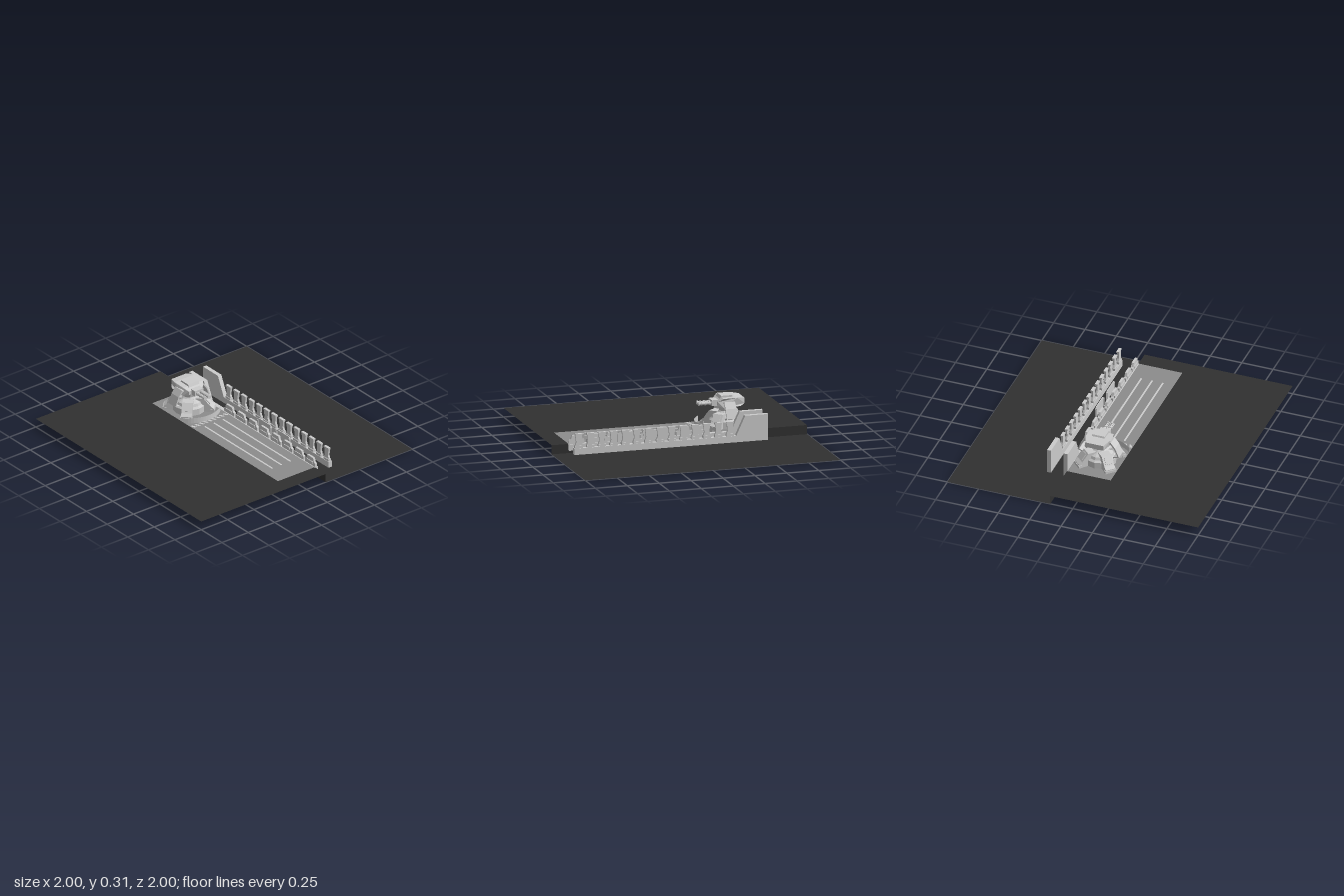
import * as THREE from 'three';

const grey = new THREE.MeshStandardMaterial({ color: 0xcccccc, flatShading: true, side: THREE.DoubleSide });
const dark = new THREE.MeshStandardMaterial({ color: 0x303030, side: THREE.DoubleSide });
const tarmac = new THREE.MeshStandardMaterial({ color: 0x8c8c8c, side: THREE.DoubleSide });

function add(parent, name, geo, x = 0, y = 0, z = 0, mat = grey) {
  const m = new THREE.Mesh(geo, mat);
  m.name = name;
  m.position.set(x, y, z);
  parent.add(m);
  return m;
}

const box = (w, h, d) => new THREE.BoxGeometry(w, h, d);

// flat horizontal sheet facing up
const sheet = (w, d) => new THREE.PlaneGeometry(w, d).rotateX(-Math.PI / 2);

// side profile in x/y, given thickness centred on z
function slab(points, depth) {
  const shape = new THREE.Shape(points.map(([x, y]) => new THREE.Vector2(x, y)));
  return new THREE.ExtrudeGeometry(shape, { depth, bevelEnabled: false }).translate(0, 0, -depth / 2);
}

// mirror a half profile (x >= 0, bottom to top) into a closed outline
const mirrored = (half) => [...half, ...half.map(([x, y]) => [-x, y]).reverse()];

function buildGround(root) {
  const g = new THREE.Group();
  g.name = 'ground';
  root.add(g);
  add(g, 'upperTerrace', sheet(2, 1.18), 0, 0.07, 0.41, dark);
  add(g, 'lowerTerrace', sheet(2, 0.82), 0, 0, -0.59, dark);
  add(g, 'terraceStep', new THREE.PlaneGeometry(2, 0.07).rotateY(Math.PI), 0, 0.035, -0.18, dark);

  // paved strip with lane lines
  add(g, 'pavement', sheet(1.52, 0.345), 0.11, 0.072, -0.002, tarmac);
  for (const z of [-0.09, -0.003, 0.083]) add(g, 'laneLine', sheet(0.82, 0.014), 0.283, 0.074, z);

  // diagonal warning stripes
  for (let i = 0; i < 9; i++) {
    const z = 0.155 - i * 0.038;
    const stripe = new THREE.Shape([[-0.018, 0], [0.018, 0.016], [0.018, 0.034], [-0.018, 0.018]]
      .map(([x, y]) => new THREE.Vector2(x, y)));
    add(g, 'warningStripe', new THREE.ShapeGeometry(stripe).rotateX(-Math.PI / 2), -0.175, 0.074, z + 0.013);
  }
}

function buildWalls(root) {
  const profile = [[-0.645, 0.023], [0.872, 0.023], [0.872, 0.072], [-0.395, 0.072], [-0.465, 0.222], [-0.645, 0.222]];
  for (const z of [-0.19, -0.323]) add(root, z > -0.3 ? 'innerWall' : 'outerWall', slab(profile, 0.032), 0, 0, z);

  // tall waisted posts on the outer wall
  const post = slab(mirrored([[0.03, 0.07], [0.03, 0.088], [0.019, 0.118], [0.027, 0.182]]), 0.016);
  const cap = box(0.056, 0.012, 0.022);
  for (let i = 0; i < 14; i++) {
    const x = -0.35 + i * 0.0912;
    add(root, 'outerPost', post, x, 0, -0.323);
    add(root, 'outerPostCap', cap, x, 0.176, -0.323);
    add(root, 'outerPostFoot', box(0.06, 0.02, 0.026), x, 0.08, -0.323);
  }

  // low stepped blocks on the inner wall
  const block = slab(mirrored([[0.06, 0.07], [0.06, 0.1], [0.046, 0.108], [0.036, 0.138]]), 0.018);
  for (let i = 0; i < 8; i++) {
    const x = -0.17 + i * 0.14;
    add(root, 'innerBlock', block, x, 0, -0.19);
    add(root, 'innerBlockRib', box(0.07, 0.018, 0.03), x, 0.098, -0.19);
  }

  // free-standing panels between the walls
  for (const x of [0.193, 0.418]) {
    add(root, 'thinPanel', slab(mirrored([[0.085, 0.062], [0.085, 0.125], [0.07, 0.145]]), 0.007), x, 0, -0.235);
    for (const s of [-1, 1]) add(root, 'panelBracket', box(0.012, 0.07, 0.014), x + s * 0.075, 0.098, -0.233);
  }
}

function buildTurret(root) {
  const t = new THREE.Group();
  t.name = 'turret';
  t.position.set(-0.42, 0, 0);
  root.add(t);

  // thin curved shield in front of the turret
  add(t, 'curvedShield', new THREE.CylinderGeometry(0.235, 0.235, 0.048, 16, 1, true, Math.PI / 2 - 0.81, 1.62), 0, 0.091, 0);

  // faceted pedestal
  const profile = [[0, 0.072], [0.125, 0.072], [0.125, 0.122], [0.108, 0.135], [0.1, 0.155], [0.065, 0.175],
    [0.05, 0.19], [0.055, 0.215], [0.06, 0.235], [0, 0.235]];
  add(t, 'pedestal', new THREE.LatheGeometry(profile.map(([x, y]) => new THREE.Vector2(x, y)), 12), 0, 0, 0);

  // four sloped legs on the diagonals
  const leg = slab([[0.05, 0.072], [0.19, 0.072], [0.19, 0.1], [0.165, 0.118], [0.115, 0.18], [0.05, 0.18]], 0.08);
  const plate = box(0.055, 0.008, 0.05);
  for (let i = 0; i < 4; i++) {
    const g = new THREE.Group();
    g.name = 'leg';
    g.rotation.y = Math.PI / 4 + i * Math.PI / 2;
    t.add(g);
    add(g, 'legBody', leg);
    add(g, 'legPlate', plate, 0.142, 0.15, 0).rotation.z = -0.89;
    add(g, 'foot', box(0.03, 0.02, 0.09), 0.18, 0.082, 0);
  }

  // bent armour plates hanging from both sides of the head
  const wing = slab([[0.085, 0.27], [0.1, 0.272], [0.135, 0.228], [0.165, 0.155], [0.12, 0.14], [0.12, 0.15],
    [0.152, 0.162], [0.126, 0.222], [0.095, 0.258], [0.085, 0.258]], 0.085);
  for (const s of [-1, 1]) add(t, 'sideArmour', wing).rotation.y = s * Math.PI / 2;

  // gun head
  const head = slab([[-0.125, 0.25], [-0.09, 0.235], [0.04, 0.225], [0.08, 0.24], [0.08, 0.27], [0.045, 0.297], [-0.06, 0.3], [-0.125, 0.29]], 0.18);
  const p = head.attributes.position;
  for (let i = 0; i < p.count; i++) {
    // narrow the head towards its rear and front
    const x = p.getX(i);
    p.setZ(i, p.getZ(i) * (x < -0.1 ? 0.8 : x > 0.06 ? 0.75 : 1.05));
  }
  head.computeVertexNormals();
  add(t, 'head', head);
  add(t, 'roofHatch', slab([[-0.045, 0.29], [0.06, 0.29], [0.05, 0.312], [-0.035, 0.312]], 0.1));
  add(t, 'gunMantlet', box(0.05, 0.045, 0.08), 0.095, 0.258, 0);

  // twin barrels
  for (const s of [-1, 1]) {
    const z = s * 0.019;
    add(t, 'barrel', new THREE.CylinderGeometry(0.011, 0.011, 0.11, 10).rotateZ(Math.PI / 2), 0.165, 0.256, z);
    for (const x of [0.135, 0.165, 0.195, 0.216]) {
      add(t, 'barrelRing', new THREE.CylinderGeometry(0.015, 0.015, 0.01, 10).rotateZ(Math.PI / 2), x, 0.256, z);
    }
  }
}

export function createModel() {
  const root = new THREE.Group();
  root.name = 'turretEmplacement';
  buildGround(root);
  buildWalls(root);
  buildTurret(root);
  return root;
}
